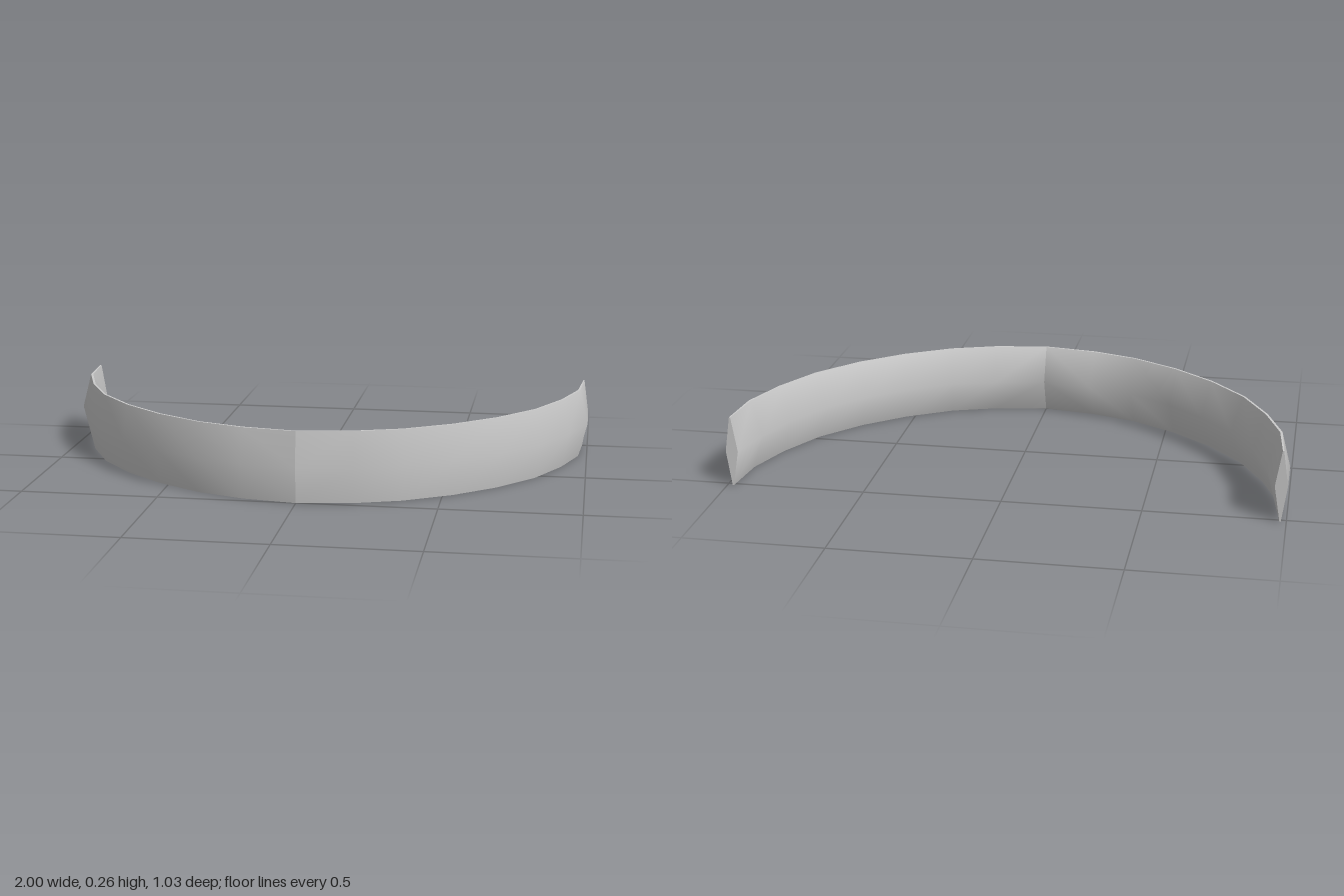
import * as THREE from 'three';

const HEIGHT = 0.26;
// Plan of one half: bulge of the outer face and of the inner face, as [x, z]
const OUTER = [[0, 0.515], [0.2, 0.49], [0.37, 0.43], [0.54, 0.335], [0.7, 0.205],
  [0.84, 0.04], [0.935, -0.14], [1, -0.32], [1, -0.515]];
const INNER = [[0, 0.44], [0.19, 0.4], [0.355, 0.357], [0.52, 0.25], [0.65, 0.137],
  [0.77, 0], [0.86, -0.17], [0.917, -0.34], [0.955, -0.515]];

// Lens-shaped cross-section: outer face, narrow top rim, inner face, narrow bottom rim
function section(i, side) {
  const [ox, oz] = OUTER[i];
  const [ix, iz] = INNER[i];
  const rim = 0.18 + 0.24 * i / (OUTER.length - 1);
  const at = (t, y) => [side * (ox + (ix - ox) * t), y, oz + (iz - oz) * t];
  return [at(rim, 0), at(0, HEIGHT / 2), at(rim, HEIGHT),
    at(rim + 0.1, HEIGHT), at(1, HEIGHT / 2), at(rim + 0.1, 0)];
}

function surface(positions, faces, side) {
  const index = faces.flatMap(([a, b, c]) => (side > 0 ? [a, b, c] : [a, c, b]));
  const geometry = new THREE.BufferGeometry();
  geometry.setAttribute('position', new THREE.Float32BufferAttribute(positions.flat(), 3));
  geometry.setIndex(index);
  geometry.computeVertexNormals();
  return geometry;
}

// Smooth strip running through the chosen cross-section corners
function strip(rings, corners, side) {
  const n = corners.length;
  const points = rings.flatMap((ring) => corners.map((c) => ring[c]));
  const faces = [];
  for (let i = 0; i < rings.length - 1; i++) {
    for (let j = 0; j < n - 1; j++) {
      const a = i * n + j;
      const b = a + n;
      faces.push([a, b, b + 1], [a, b + 1, a + 1]);
    }
  }
  return surface(points, faces, side);
}

export function createModel() {
  const group = new THREE.Group();
  group.name = 'curvedBand';
  const material = new THREE.MeshStandardMaterial({ color: 0xcccccc });

  // Two mirrored halves that meet at the middle
  for (const side of [1, -1]) {
    const half = new THREE.Group();
    half.name = side > 0 ? 'leftHalf' : 'rightHalf';
    const add = (name, geometry) => {
      const mesh = new THREE.Mesh(geometry, material);
      mesh.name = name;
      half.add(mesh);
    };
    const rings = OUTER.map((_, i) => section(i, side));
    add('outerFace', strip(rings, [0, 1, 2], side));
    add('topRim', strip(rings, [2, 3], side));
    add('innerFace', strip(rings, [3, 4, 5], side));
    add('bottomRim', strip(rings, [5, 0], side));
    // Flat cap closing the rear end
    const capFaces = [1, 2, 3, 4].map((k) => [0, k + 1, k]);
    add('endCap', surface(rings[rings.length - 1], capFaces, side));
    group.add(half);
  }
  return group;
}
